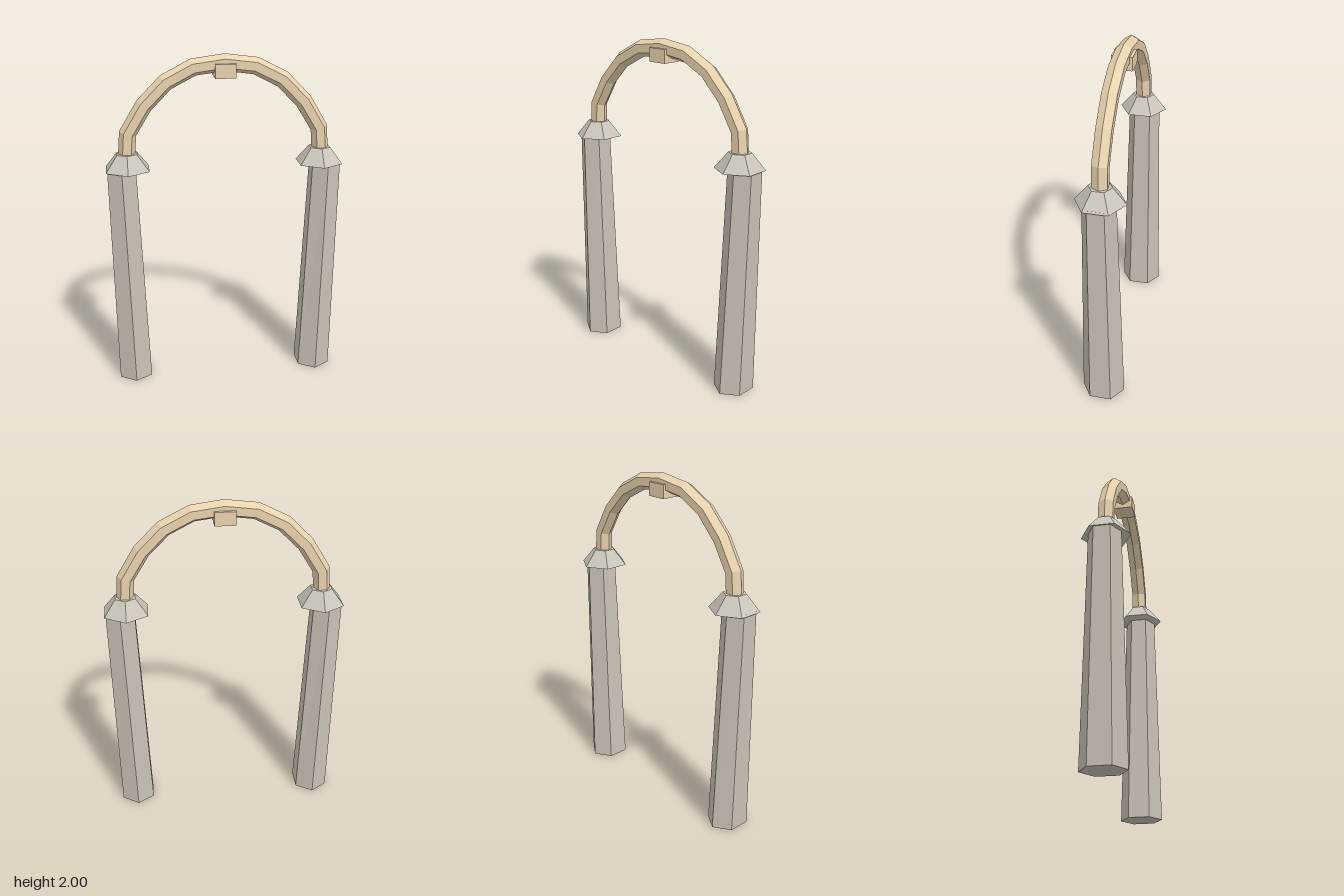
import * as THREE from 'three';

const stone = new THREE.MeshStandardMaterial({ color: 0xc9c1b5, flatShading: true });
const paleStone = new THREE.MeshStandardMaterial({ color: 0xcbc6bb, flatShading: true });
const wood = new THREE.MeshStandardMaterial({ color: 0xe8d2ae, flatShading: true });

function addMesh(parent, name, geometry, material) {
  const mesh = new THREE.Mesh(geometry, material);
  mesh.name = name;
  parent.add(mesh);
  return mesh;
}

// Tapered six-sided shaft that leans slightly outward towards its top
function columnGeometry(side) {
  const height = 1.355;
  const geo = new THREE.CylinderGeometry(0.095, 0.127, height, 6);
  geo.translate(0, height / 2, 0);
  const pos = geo.attributes.position;
  for (let i = 0; i < pos.count; i++) {
    const t = pos.getY(i) / height;
    const squeeze = THREE.MathUtils.lerp(0.89, 1, t);
    const centre = THREE.MathUtils.lerp(0.569, 0.602, t);
    pos.setX(i, pos.getX(i) * squeeze + side * centre);
  }
  geo.computeVertexNormals();
  return geo;
}

// Six-sided bar swept along the arch, with one ridge facing outward
function archGeometry() {
  const half = [[0.572, 1.38], [0.558, 1.556], [0.462, 1.715], [0.335, 1.845], [0.178, 1.926]];
  const path = [
    ...half,
    [0, 1.949],
    ...half.map(([x, y]) => [-x, y]).reverse(),
  ].map(([x, y]) => new THREE.Vector3(x, y, 0));
  const steps = path.length - 1, sides = 6, radius = 0.05;
  const geo = new THREE.TorusGeometry(1, radius, sides, steps, Math.PI);
  const pos = geo.attributes.position;
  for (let j = 0; j <= sides; j++) {
    const a = (j / sides) * Math.PI * 2;
    for (let i = 0; i <= steps; i++) {
      const p = path[i];
      const t = path[Math.min(i + 1, steps)].clone().sub(path[Math.max(i - 1, 0)]).normalize();
      const r = radius * Math.cos(a);
      pos.setXYZ(j * (steps + 1) + i, p.x + t.y * r, p.y - t.x * r, radius * Math.sin(a));
    }
  }
  geo.computeVertexNormals();
  return geo;
}

export function createModel() {
  const model = new THREE.Group();
  model.name = 'archway';

  // Mirrored pillars with flared caps
  for (const side of [-1, 1]) {
    const pillar = new THREE.Group();
    pillar.name = side > 0 ? 'leftPillar' : 'rightPillar';
    addMesh(pillar, 'column', columnGeometry(side), stone);
    const cap = addMesh(pillar, 'cap', new THREE.CylinderGeometry(0.066, 0.144, 0.095, 6), paleStone);
    cap.position.set(side * 0.567, 1.392, 0);
    model.add(pillar);
  }

  // Arch and the block at its crown
  addMesh(model, 'arch', archGeometry(), wood);
  const keystone = addMesh(model, 'keystone', new THREE.BoxGeometry(0.12, 0.08, 0.12), wood);
  keystone.position.set(0, 1.908, 0);

  return model;
}
